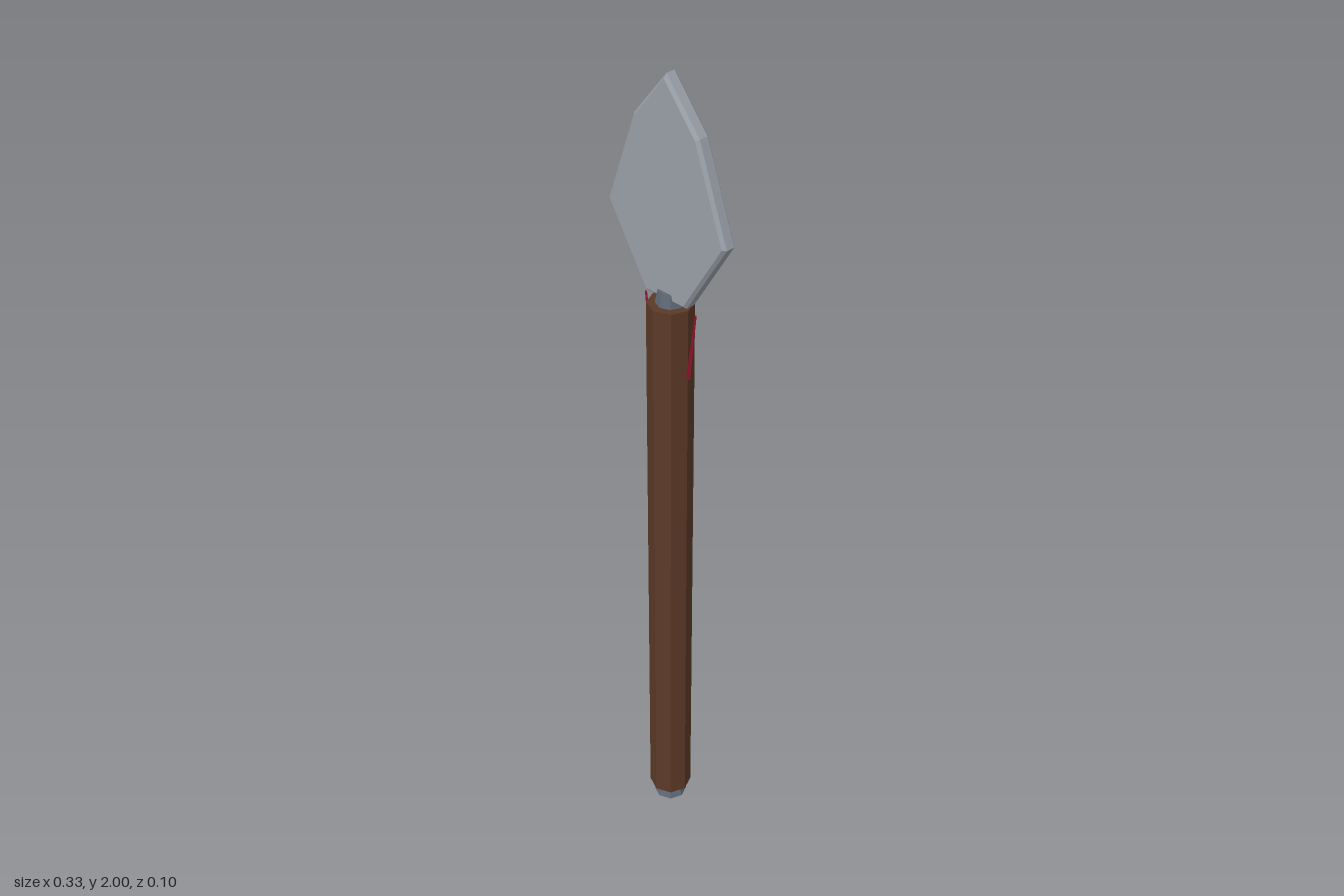
import * as THREE from 'three';

const mat = (name, color) => {
  const m = new THREE.MeshStandardMaterial({ color });
  m.name = name;
  return m;
};

export function createModel() {
  const group = new THREE.Group();
  const wood = mat('dark wood', 0x5c3a28);
  const steel = mat('blade steel', 0x9a9fa8);
  const iron = mat('dark iron', 0x5f6877);
  const red = mat('red binding', 0x8c1428);

  // Unshared vertices give crisp low-poly facets
  const add = (name, geometry, material) => {
    const g = geometry.index ? geometry.toNonIndexed() : geometry;
    g.computeVertexNormals();
    const mesh = new THREE.Mesh(g, material);
    mesh.name = name;
    group.add(mesh);
    return mesh;
  };

  // Upright eight-sided section between two heights
  const post = (name, rTop, rBottom, y0, y1, material) => {
    const mesh = add(name, new THREE.CylinderGeometry(rTop, rBottom, y1 - y0, 8), material);
    mesh.position.y = (y0 + y1) / 2;
  };

  post('shaft', 0.052, 0.052, 0.035, 1.483, wood);
  post('buttCap', 0.03, 0.041, 0, 0.04, iron);
  post('collar', 0.027, 0.035, 1.475, 1.515, iron);

  // Leaf-shaped blade with a chamfered rim
  const half = [[0.058, 1.495], [0.167, 1.675], [0.09, 1.89]];
  const outline = [
    ...half, [0, 2],
    ...half.map(([x, y]) => [-x, y]).reverse(),
  ].map(([x, y]) => new THREE.Vector2(x, y));
  const blade = new THREE.ExtrudeGeometry(new THREE.Shape(outline), {
    depth: 0.022, bevelEnabled: true, bevelSegments: 1,
    bevelThickness: 0.007, bevelSize: 0.007, bevelOffset: -0.007,
  });
  blade.translate(0, 0, -0.011);
  add('blade', blade, steel);

  // Slim red splints leaning outwards at each side of the shaft head
  for (const side of [-1, 1]) {
    const splint = add(side > 0 ? 'leftSplint' : 'rightSplint',
      new THREE.CylinderGeometry(0.003, 0.006, 0.167, 4), red);
    splint.position.set(side * 0.063, 1.396, 0);
    splint.rotation.z = -side * 0.12;
  }

  return group;
}
